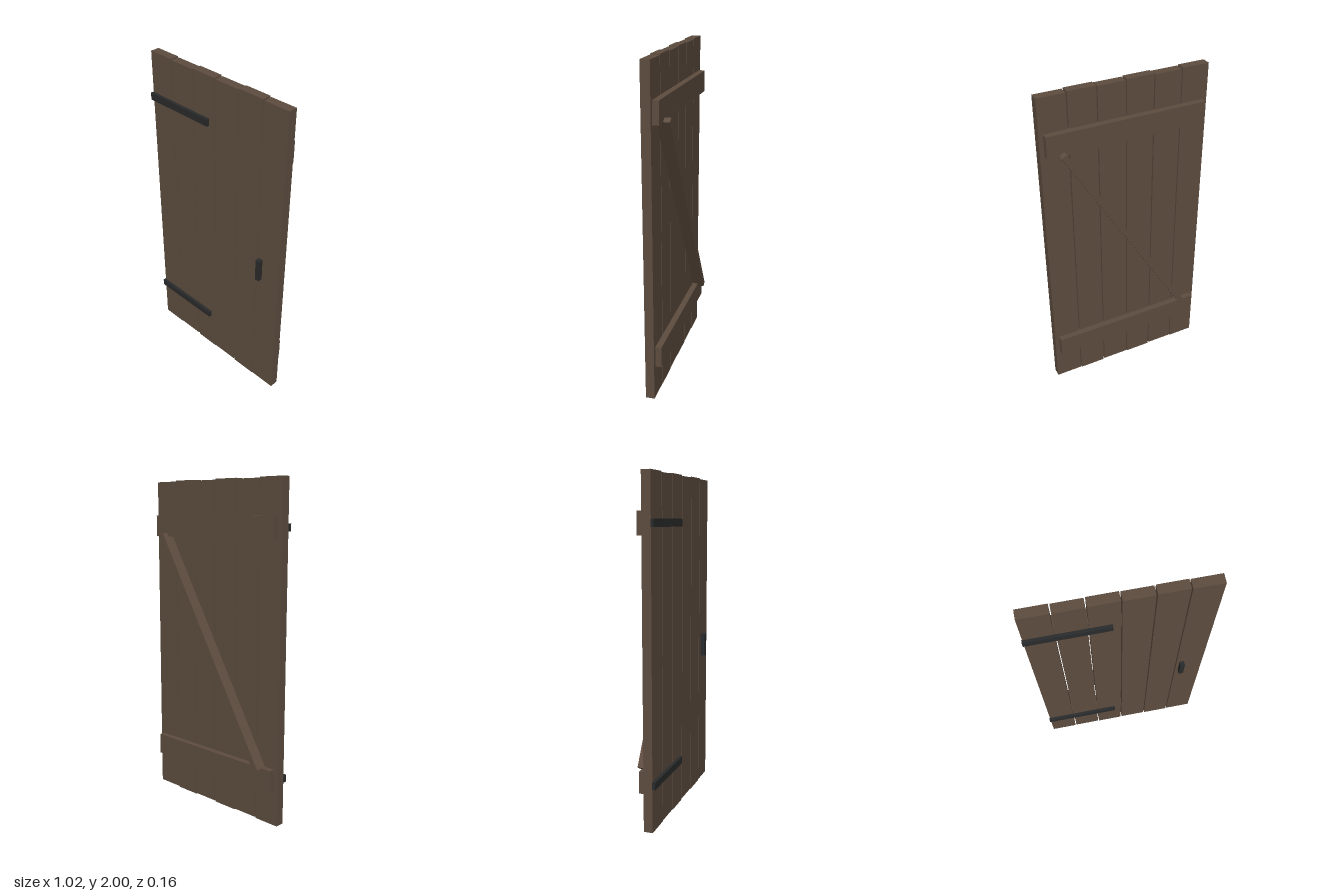
import * as THREE from 'three';

const wood = new THREE.MeshStandardMaterial({ name: 'dark wood', color: 0x5e4d3f });
const iron = new THREE.MeshStandardMaterial({ name: 'black iron', color: 0x2a2b2c });

// Box given by its extents on each axis
function box(name, material, [x0, x1], [y0, y1], [z0, z1]) {
  const mesh = new THREE.Mesh(new THREE.BoxGeometry(x1 - x0, y1 - y0, z1 - z0), material);
  mesh.position.set((x0 + x1) / 2, (y0 + y1) / 2, (z0 + z1) / 2);
  mesh.name = name;
  return mesh;
}

export function createModel() {
  const door = new THREE.Group();
  door.name = 'plankDoor';

  // Six upright planks with narrow gaps, every second one a touch shorter
  const pitch = 0.1705, half = 0.0815;
  for (let i = 0; i < 6; i++) {
    const x = (i - 2.5) * pitch;
    const trim = i % 2 ? 0.005 : 0;
    door.add(box('plank' + (i + 1), wood, [x - half, x + half], [trim, 2 - trim], [-0.007, 0.047]));
  }

  // Horizontal ledges on the back, let into the planks
  door.add(box('upperLedge', wood, [-0.482, 0.482], [1.66, 1.79], [-0.044, 0.028]));
  door.add(box('lowerLedge', wood, [-0.482, 0.482], [0.215, 0.345], [-0.044, 0.028]));

  // Diagonal brace across the back
  const brace = box('diagonalBrace', wood, [-0.018, 0.018], [0.222, 1.782], [-0.081, -0.008]);
  brace.position.y = 1.003;
  brace.rotation.z = -THREE.MathUtils.degToRad(30.8);
  door.add(brace);

  // Hinge straps and pull handle on the front
  door.add(box('upperHingeStrap', iron, [-0.512, -0.047], [1.705, 1.749], [0.046, 0.065]));
  door.add(box('lowerHingeStrap', iron, [-0.512, -0.047], [0.26, 0.304], [0.046, 0.065]));
  door.add(box('handle', iron, [0.36, 0.388], [0.863, 1.008], [0.053, 0.081]));

  return door;
}
